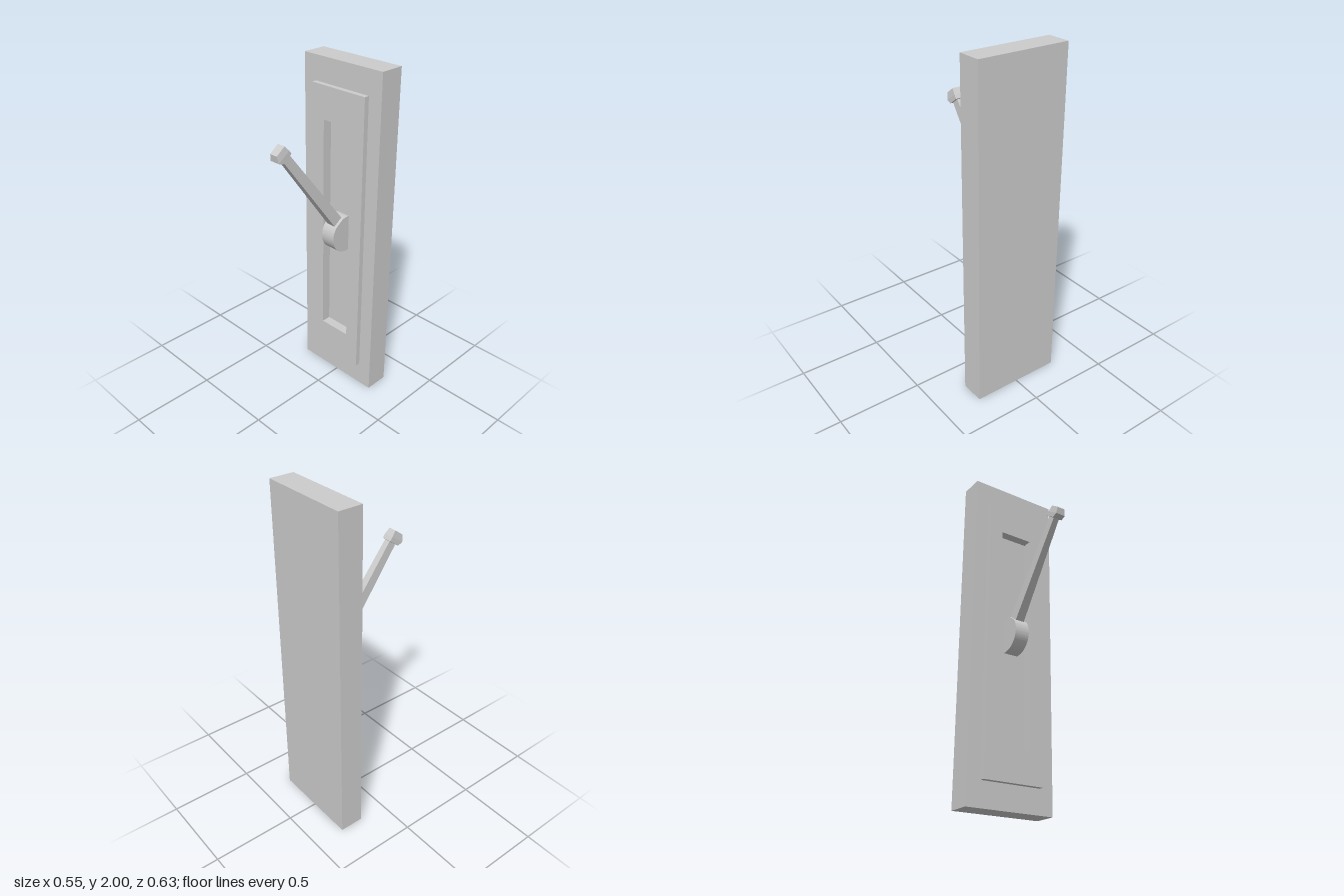
import * as THREE from 'three';
import { toCreasedNormals } from 'three/addons/utils/BufferGeometryUtils.js';
import { ConvexGeometry } from 'three/addons/geometries/ConvexGeometry.js';

const material = new THREE.MeshStandardMaterial({ color: 0xcccccc });
const SWITCH_X = 0.0025; // the lever sits a hair off the centre line

function part(name, geometry) {
  const mesh = new THREE.Mesh(geometry, material);
  mesh.name = name;
  return mesh;
}

function rectangle(PathType, halfWidth, bottom, top) {
  return new PathType([
    new THREE.Vector2(-halfWidth, bottom), new THREE.Vector2(halfWidth, bottom),
    new THREE.Vector2(halfWidth, top), new THREE.Vector2(-halfWidth, top),
  ]);
}

// Flat slab between two depths, with the lever slot cut through it
function slottedSlab(halfWidth, bottom, top, back, front) {
  const shape = rectangle(THREE.Shape, halfWidth, bottom, top);
  shape.holes.push(rectangle(THREE.Path, 0.1, 0.34, 1.67));
  return new THREE.ExtrudeGeometry(shape, { depth: front - back, bevelEnabled: false }).translate(0, 0, back);
}

// Convex solid from [z, y, half width] points, mirrored across x
function mirroredSolid(points) {
  return new ConvexGeometry(points.flatMap(([z, y, w]) => [
    new THREE.Vector3(w, y, z), new THREE.Vector3(-w, y, z),
  ]));
}

export function createModel() {
  const model = new THREE.Group();
  model.name = 'wallSwitch';

  // Back plate with a shallow pocket, and the raised panel around the slot
  const floorZ = -0.198, plateZ = -0.172, panelZ = -0.142, backZ = -0.315;
  const back = new THREE.BoxGeometry(0.546, 2, floorZ - backZ).translate(0, 1, (floorZ + backZ) / 2);
  model.add(part('backPlate', back));
  model.add(part('plateFront', slottedSlab(0.273, 0, 2, floorZ, plateZ)));
  model.add(part('raisedPanel', slottedSlab(0.188, 0.145, 1.86, plateZ, panelZ)));

  const lever = new THREE.Group();
  lever.name = 'lever';
  lever.position.x = SWITCH_X;
  model.add(lever);

  // Pivot disc with a flat facing along the lever
  const disc = new THREE.Shape();
  disc.absarc(-0.183, 1.01, 0.11, THREE.MathUtils.degToRad(70), THREE.MathUtils.degToRad(398), false);
  disc.closePath();
  const hub = new THREE.ExtrudeGeometry(disc, { depth: 0.09, bevelEnabled: false, curveSegments: 48 });
  hub.translate(0, 0, -0.045).rotateY(-Math.PI / 2);
  lever.add(part('pivotHub', toCreasedNormals(hub, 0.4)));

  // Tapered arm
  lever.add(part('arm', mirroredSolid([
    [-0.118, 1.056, 0.028], [-0.165, 1.105, 0.028],
    [0.227, 1.612, 0.018], [0.268, 1.582, 0.018],
  ])));

  // Faceted knob, narrower at its outer corners
  lever.add(part('knob', mirroredSolid([
    [0.262, 1.667, 0.024], [0.235, 1.638, 0.03], [0.221, 1.618, 0.03],
    [0.277, 1.577, 0.03], [0.308, 1.588, 0.03], [0.315, 1.628, 0.024],
  ])));

  return model;
}
